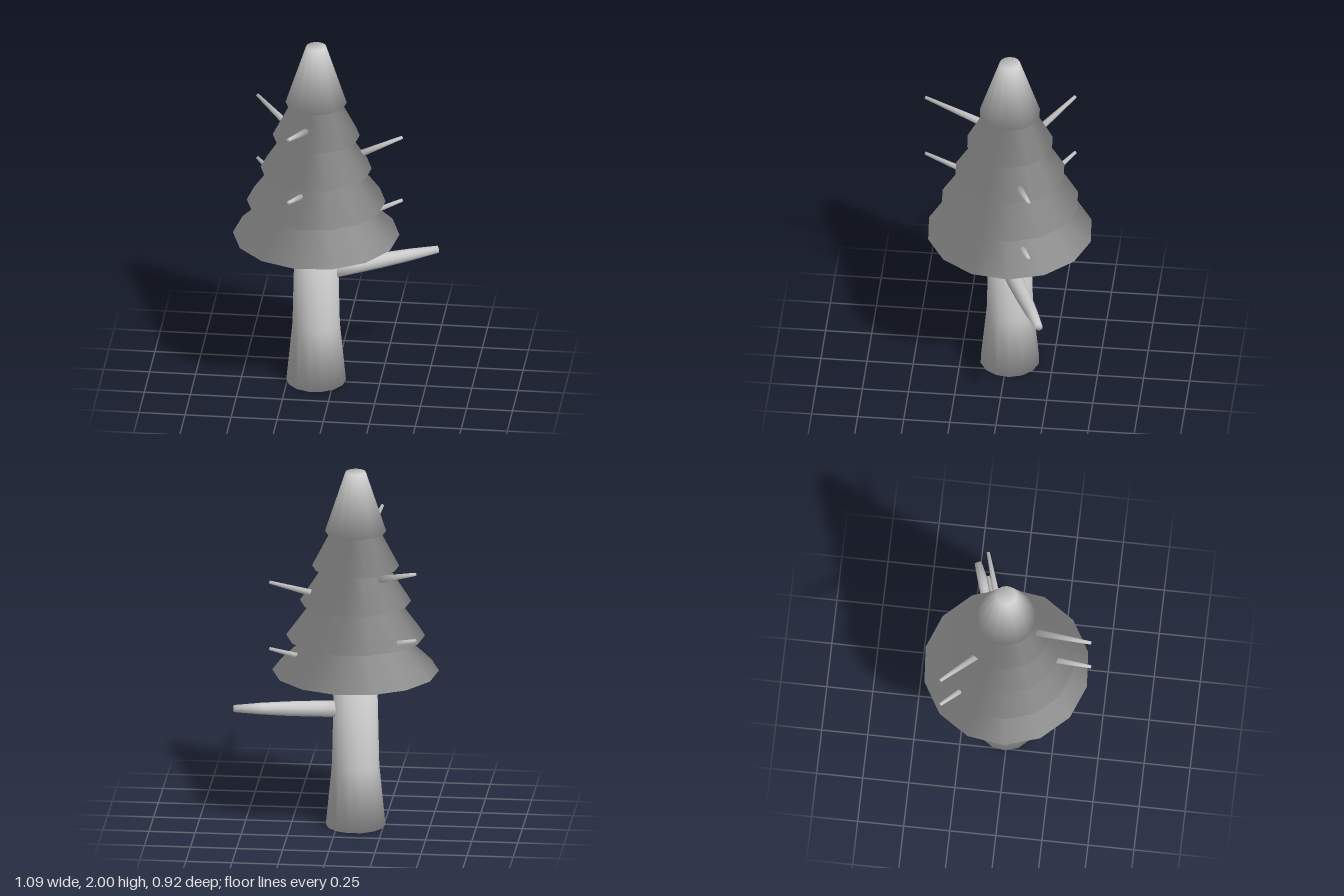
import * as THREE from 'three';

const mat = new THREE.MeshStandardMaterial({ color: 0xcccccc });
const CX = -0.097, CZ = -0.015, SIDES = 14;
const START = THREE.MathUtils.degToRad(-8.4);

// Capped solid from [radius, height] pairs, shaded smoothly over every rim:
// each ring's normal is the even mean of the two surfaces that meet there
function turned(profile, sides, name, start = 0) {
  const n = profile.length;
  const geo = new THREE.LatheGeometry(profile.map(([r, y]) => new THREE.Vector2(r, y)), sides, start);

  const faces = [new THREE.Vector2(0, -1)];
  for (let j = 1; j < n; j++) {
    const [r0, y0] = profile[j - 1], [r1, y1] = profile[j];
    faces.push(new THREE.Vector2(y1 - y0, r0 - r1).normalize());
  }
  faces.push(new THREE.Vector2(0, 1));
  for (let i = 0; i <= sides; i++) {
    const phi = start + (i / sides) * Math.PI * 2;
    for (let j = 0; j < n; j++) {
      const v = faces[j].clone().add(faces[j + 1]).normalize();
      geo.attributes.normal.setXYZ(i * n + j, v.x * Math.sin(phi), v.y, v.x * Math.cos(phi));
    }
  }

  // End caps share the rim vertices
  const index = Array.from(geo.index.array);
  for (let i = 1; i < sides - 1; i++) {
    index.push(0, (i + 1) * n, i * n);
    index.push(n - 1, i * n + n - 1, (i + 1) * n + n - 1);
  }
  geo.setIndex(index);

  const mesh = new THREE.Mesh(geo, mat);
  mesh.name = name;
  return mesh;
}

// Tapered limb between two points; radii are spread evenly along it
function limb(from, to, radii, name) {
  const a = new THREE.Vector3(...from), b = new THREE.Vector3(...to);
  const dir = b.clone().sub(a), len = dir.length();
  const mesh = turned(radii.map((r, i) => [r, (len * i) / (radii.length - 1)]), 10, name);
  mesh.position.copy(a);
  mesh.quaternion.setFromUnitVectors(new THREE.Vector3(0, 1, 0), dir.normalize());
  return mesh;
}

export function createModel() {
  const tree = new THREE.Group();
  tree.name = 'tree';

  // Trunk flaring at the foot, and stepped foliage on the same axis
  const axis = new THREE.Group();
  axis.name = 'trunkAndFoliage';
  axis.position.set(CX, 0, CZ);
  axis.add(turned([[0.161, 0], [0.128, 0.34], [0.114, 0.95]], SIDES, 'trunk', START));
  axis.add(turned([
    [0.45, 0.876], [0.245, 1.075],
    [0.375, 1.075], [0.23, 1.272],
    [0.3, 1.272], [0.173, 1.469],
    [0.235, 1.469], [0.133, 1.666],
    [0.165, 1.666], [0.055, 2],
  ], SIDES, 'foliage', START));
  tree.add(axis);

  // Large bare branch and the knot above it
  tree.add(limb([-0.03, 0.655, -0.02], [0.54, 0.708, -0.238],
    [0.046, 0.045, 0.041, 0.033, 0.02], 'branch'));
  const knot = new THREE.Mesh(new THREE.SphereGeometry(1, 12, 8), mat);
  knot.name = 'knot';
  knot.scale.set(0.012, 0.052, 0.026);
  knot.position.set(0.016, 0.745, 0);
  tree.add(knot);

  // Three thin twigs, repeated on a lower level
  const twigs = [
    [[-0.23, 1.43, -0.13], [-0.453, 1.533, -0.335]],
    [[0.09, 1.315, -0.078], [0.355, 1.407, -0.163]],
    [[-0.128, 1.555, 0.12], [-0.195, 1.66, 0.455]],
  ];
  for (const drop of [0, 0.377]) {
    for (const [a, b] of twigs) {
      tree.add(limb([a[0], a[1] - drop, a[2]], [b[0], b[1] - drop, b[2]], [0.021, 0.009], 'twig'));
    }
  }
  return tree;
}
